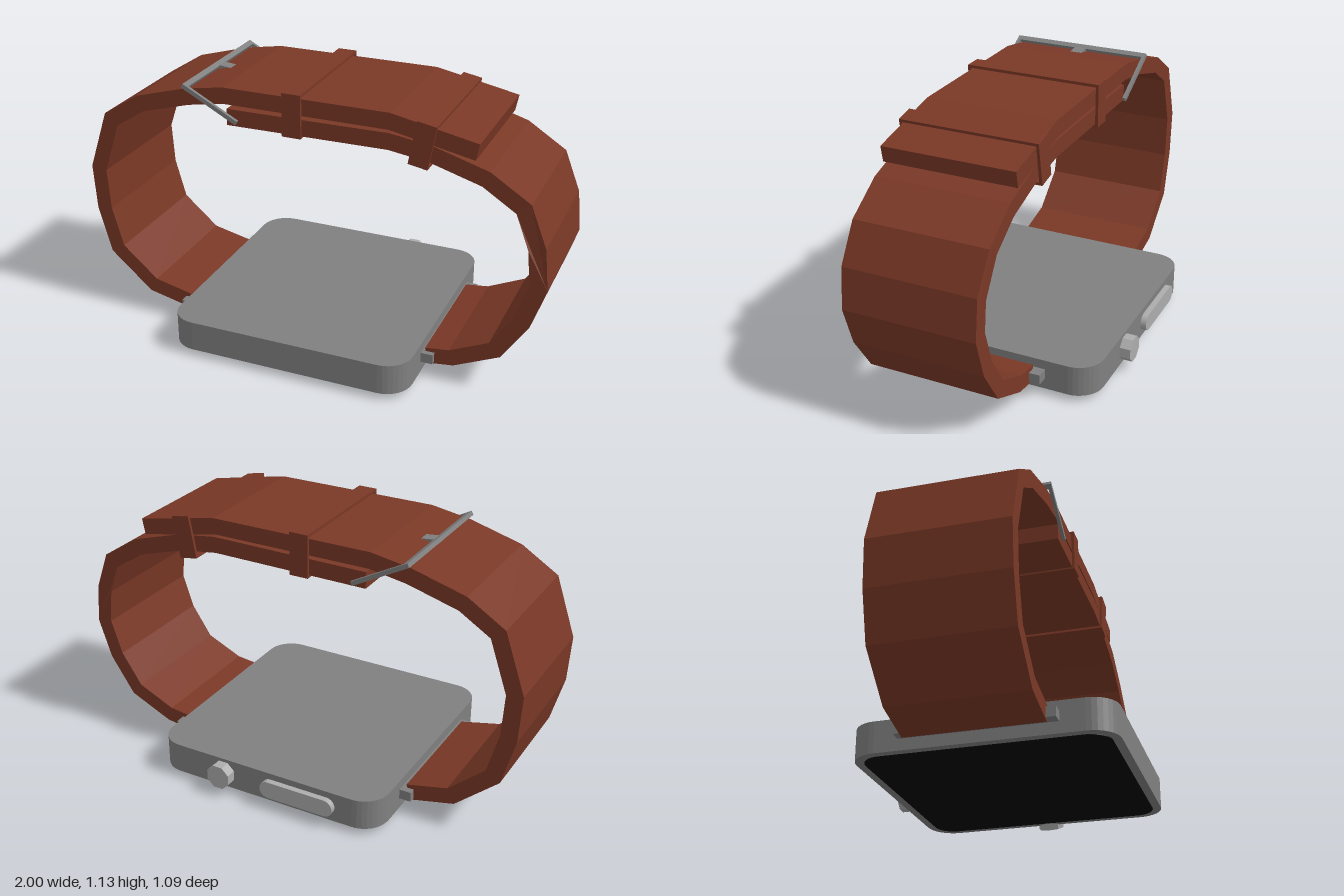
import * as THREE from 'three';

const mat = (color) => new THREE.MeshStandardMaterial({ color, flatShading: true });
const leather = mat(0x7a3826), metal = mat(0x808080), silver = mat(0xacacac), glass = mat(0x050505);

function add(parent, name, geometry, material, x = 0, y = 0, z = 0) {
  const mesh = new THREE.Mesh(geometry, material);
  mesh.name = name;
  mesh.position.set(x, y, z);
  parent.add(mesh);
  return mesh;
}

// Rounded rectangle centred on the origin
function roundedRect(w, h, r) {
  const s = new THREE.Shape(), x = w / 2, y = h / 2;
  s.moveTo(-x + r, -y).lineTo(x - r, -y);
  s.absarc(x - r, -y + r, r, -Math.PI / 2, 0);
  s.absarc(x - r, y - r, r, 0, Math.PI / 2);
  s.absarc(-x + r, y - r, r, Math.PI / 2, Math.PI);
  s.absarc(-x + r, -y + r, r, Math.PI, Math.PI * 1.5);
  return s;
}

const extrude = (shape, depth, curveSegments = 4) =>
  new THREE.ExtrudeGeometry(shape, { depth, curveSegments, bevelEnabled: false });

// Band of constant thickness along a centre line, with mitred corners
function bandGeometry(points, thickness, width) {
  const p = points.map(([x, y]) => new THREE.Vector2(x, y));
  const outer = [], inner = [];
  p.forEach((c, i) => {
    const a = c.clone().sub(p[Math.max(i - 1, 0)]).normalize();
    const b = p[Math.min(i + 1, p.length - 1)].clone().sub(c).normalize();
    const t = a.clone().add(b).normalize();
    const n = new THREE.Vector2(-t.y, t.x);
    const cos = t.dot(i ? a : b);
    n.multiplyScalar(thickness / 2 / cos);
    outer.push(c.clone().add(n));
    inner.push(c.clone().sub(n));
  });
  const geometry = extrude(new THREE.Shape([...outer, ...inner.reverse()]), width);
  return geometry.translate(0, 0, -width / 2);
}

export function createModel() {
  const model = new THREE.Group();
  model.name = 'wristwatch';

  // Case with rounded corners, and the dark screen on its underside
  const body = extrude(roundedRect(1.04, 1.04, 0.11), 0.13).rotateX(-Math.PI / 2);
  add(model, 'case', body, metal, -0.005, 0.035, 0.02);
  const screen = extrude(roundedRect(0.97, 0.97, 0.08), 0.01).rotateX(-Math.PI / 2);
  add(model, 'screen', screen, glass, -0.005, 0.032, 0.02);

  // Bars joining the straps to the case
  for (const x of [-0.545, 0.535])
    add(model, 'strapBar', new THREE.BoxGeometry(0.06, 0.042, 0.625), metal, x, 0.104, 0.02);

  // Strap with the free end, running over the top
  const longStrap = bandGeometry([
    [-0.55, 0.105], [-0.735, 0.147], [-0.904, 0.294], [-0.955, 0.48], [-0.966, 0.668],
    [-0.885, 0.904], [-0.74, 0.995], [-0.52, 1.057], [-0.355, 1.085], [0.345, 1.085], [0.695, 1.015],
  ], 0.069, 0.558);
  add(model, 'longStrap', longStrap, leather, 0, 0, 0.015);

  // Strap that carries the buckle; its lower half sits slightly further forward
  const buckleStrap = bandGeometry([
    [0.53, 0.105], [0.635, 0.118], [0.81, 0.198], [0.91, 0.348], [0.963, 0.508], [0.947, 0.668],
    [0.883, 0.818], [0.733, 0.914], [0.515, 0.979], [0.345, 1.003], [-0.34, 0.998],
  ], 0.069, 0.557);
  const pos = buckleStrap.attributes.position;
  for (let i = 0; i < pos.count; i++)
    pos.setZ(i, pos.getZ(i) + 0.015 * (1 - THREE.MathUtils.smoothstep(pos.getY(i), 0.68, 0.8)));
  add(model, 'buckleStrap', buckleStrap, leather, 0, 0, 0.017);

  // Keeper loops around both layers
  const loop = roundedRect(0.585, 0.182, 0.001);
  loop.holes.push(roundedRect(0.561, 0.158, 0.001));
  const loopGeometry = extrude(loop, 0.08, 1).translate(0, 0, -0.04).rotateY(Math.PI / 2);
  add(model, 'keeperLoop', loopGeometry, leather, -0.055, 1.048, 0.014);
  add(model, 'keeperLoop', loopGeometry, leather, 0.484, 1.013, 0.017).rotation.z = -0.18;

  // Tilted buckle: cross bar, two arms and a tongue
  const buckle = new THREE.Group();
  buckle.name = 'buckle';
  buckle.position.set(-0.408, 1.047, 0.013);
  buckle.rotation.z = -0.49;
  model.add(buckle);
  add(buckle, 'buckleBar', new THREE.BoxGeometry(0.024, 0.018, 0.605), metal, -0.123);
  for (const side of [-1, 1])
    add(buckle, 'buckleArm', new THREE.BoxGeometry(0.265, 0.018, 0.014), metal, 0, 0, side * 0.296);
  const tongue = add(model, 'buckleTongue', new THREE.BoxGeometry(0.1, 0.016, 0.05), metal, -0.475, 1.098, 0.01);
  tongue.rotation.z = -0.1;

  // Crown and pill-shaped button on the back edge
  const crown = new THREE.CylinderGeometry(0.055, 0.055, 0.06, 8).rotateY(Math.PI / 8).rotateX(Math.PI / 2);
  add(model, 'crown', crown, silver, 0.185, 0.1, -0.516);
  add(model, 'sideButton', extrude(roundedRect(0.335, 0.075, 0.037), 0.04), silver, -0.172, 0.1, -0.525);

  // Tilted knob with a recessed centre
  const knobProfile = [[0, -0.02], [0.055, -0.02], [0.055, 0.02], [0.018, 0.02], [0.014, 0.008], [0, 0.008]];
  const knob = new THREE.LatheGeometry(knobProfile.map(([x, y]) => new THREE.Vector2(x, y)), 8);
  add(model, 'knob', knob, silver, 0.541, 0.05, 0.026).rotation.z = -Math.PI + 0.49;

  return model;
}
